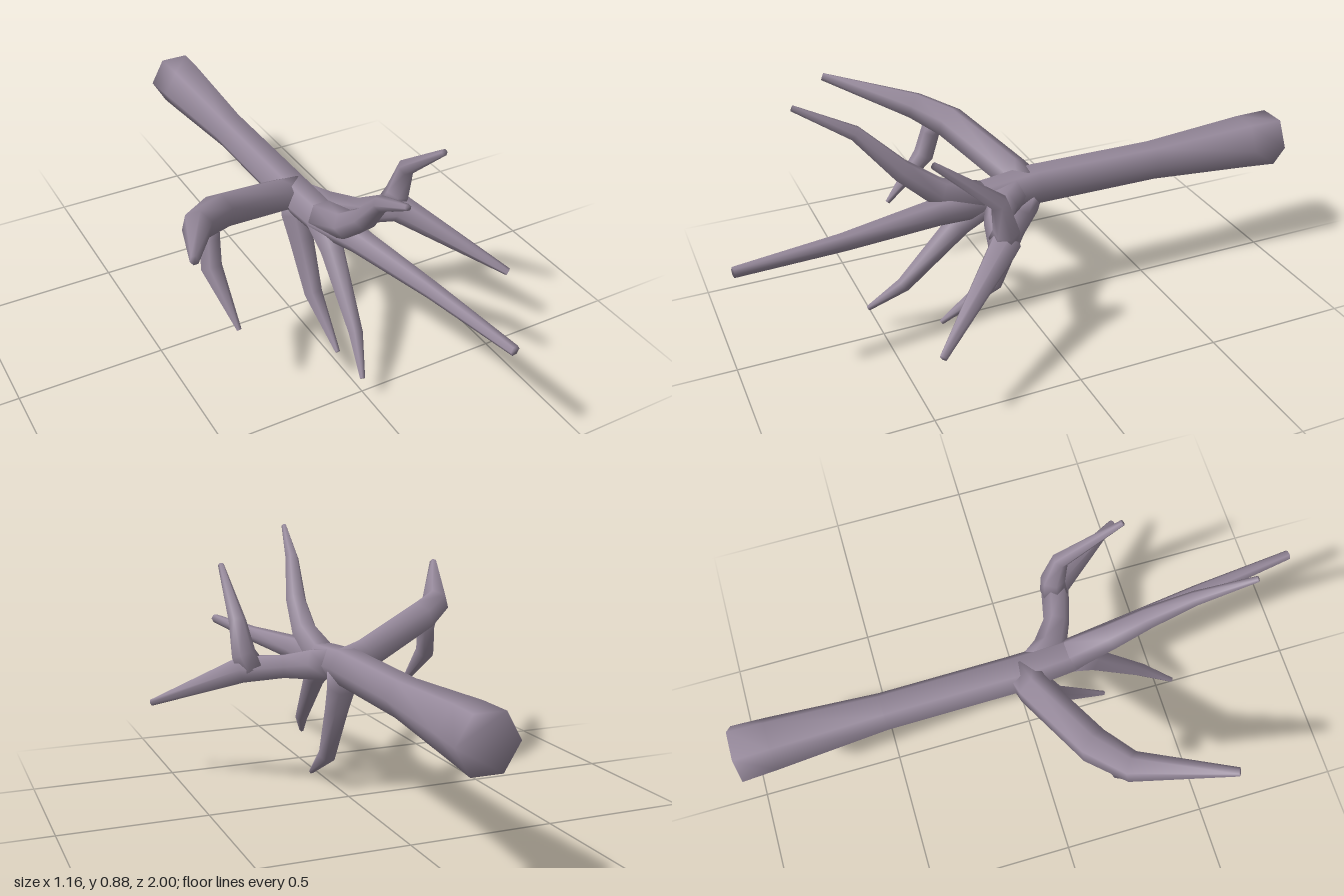
import * as THREE from 'three';

const SIDES = 6;

// Six-sided tapering limb through [x, y, z, radius] stations, closed at both ends
function limb(stations) {
  const pts = stations.map(s => new THREE.Vector3(s[0], s[1], s[2]));
  const n = pts.length;
  const pos = [], idx = [];
  const direction = (a, b) => pts[b].clone().sub(pts[a]).normalize();
  let u = null;
  for (let i = 0; i < n; i++) {
    const before = direction(Math.max(i - 1, 0), Math.max(i, 1));
    const after = direction(Math.min(i, n - 2), Math.min(i + 1, n - 1));
    const t = before.add(after).normalize();
    if (!u) u = Math.abs(t.x) > 0.8 ? new THREE.Vector3(0, 1, 0) : new THREE.Vector3(1, 0, 0);
    u.addScaledVector(t, -u.dot(t)).normalize();
    const v = t.clone().cross(u);
    for (let k = 0; k < SIDES; k++) {
      const a = k / SIDES * Math.PI * 2;
      const p = pts[i].clone()
        .addScaledVector(u, Math.cos(a) * stations[i][3])
        .addScaledVector(v, Math.sin(a) * stations[i][3]);
      pos.push(p.x, p.y, p.z);
    }
  }
  for (let i = 0; i < n - 1; i++) {
    for (let k = 0; k < SIDES; k++) {
      const a = i * SIDES + k, b = i * SIDES + (k + 1) % SIDES;
      idx.push(a, b, b + SIDES, a, b + SIDES, a + SIDES);
    }
  }
  // end caps
  const last = (n - 1) * SIDES;
  for (let k = 1; k < SIDES - 1; k++) {
    idx.push(0, k + 1, k, last, last + k, last + k + 1);
  }
  const g = new THREE.BufferGeometry();
  g.setAttribute('position', new THREE.Float32BufferAttribute(pos, 3));
  g.setIndex(idx);
  g.computeVertexNormals();
  return g;
}

export function createModel() {
  const group = new THREE.Group();
  group.name = 'fallenTree';
  const bark = new THREE.MeshStandardMaterial({ color: 0x978a9c });
  bark.name = 'greyPurpleBark';

  const limbs = {
    // trunk flares at the root end and runs on into the leading branch
    trunk: [
      [0.02, 0.463, -1, 0.1], [0.02, 0.468, -0.88, 0.094], [0.023, 0.472, -0.5, 0.067],
      [0.025, 0.475, -0.05, 0.067], [0.04, 0.468, 0.15, 0.06], [0.075, 0.475, 0.32, 0.045],
      [0.135, 0.475, 0.65, 0.029], [0.18, 0.48, 0.995, 0.017],
    ],
    rightBranch: [
      [0.03, 0.475, -0.02, 0.06], [-0.05, 0.495, 0.0, 0.06], [-0.32, 0.59, 0.12, 0.06],
      [-0.43, 0.625, 0.21, 0.05], [-0.565, 0.733, 0.5, 0.014],
    ],
    rightTwig: [
      [-0.37, 0.6, 0.15, 0.04], [-0.375, 0.54, 0.175, 0.034],
      [-0.385, 0.45, 0.2, 0.036], [-0.366, 0.297, 0.35, 0.008],
    ],
    leftBranch: [
      [0.04, 0.47, 0.04, 0.06], [0.09, 0.46, 0.1, 0.058], [0.18, 0.45, 0.15, 0.045],
      [0.315, 0.445, 0.185, 0.052], [0.568, 0.28, 0.488, 0.013],
    ],
    leftUpperTwig: [
      [0.29, 0.45, 0.175, 0.05], [0.315, 0.5, 0.178, 0.043],
      [0.326, 0.61, 0.205, 0.03], [0.32, 0.777, 0.41, 0.011],
    ],
    lowerRearBranch: [
      [0.03, 0.46, -0.02, 0.056], [0.027, 0.4, -0.005, 0.054], [0.027, 0.32, 0.035, 0.046],
      [0.035, 0.13, 0.11, 0.034], [0.025, 0.009, 0.3, 0.009],
    ],
    lowerFrontBranch: [
      [0.04, 0.46, 0.14, 0.055], [0.035, 0.39, 0.23, 0.042],
      [0.015, 0.19, 0.425, 0.025], [-0.026, 0.102, 0.54, 0.009],
    ],
    upperBranch: [
      [0.04, 0.475, 0.16, 0.058], [0.045, 0.53, 0.3, 0.048], [0.035, 0.63, 0.42, 0.038],
      [0.003, 0.77, 0.55, 0.025], [-0.03, 0.873, 0.73, 0.01],
    ],
  };

  for (const [name, stations] of Object.entries(limbs)) {
    const mesh = new THREE.Mesh(limb(stations), bark);
    mesh.name = name;
    group.add(mesh);
  }
  return group;
}
